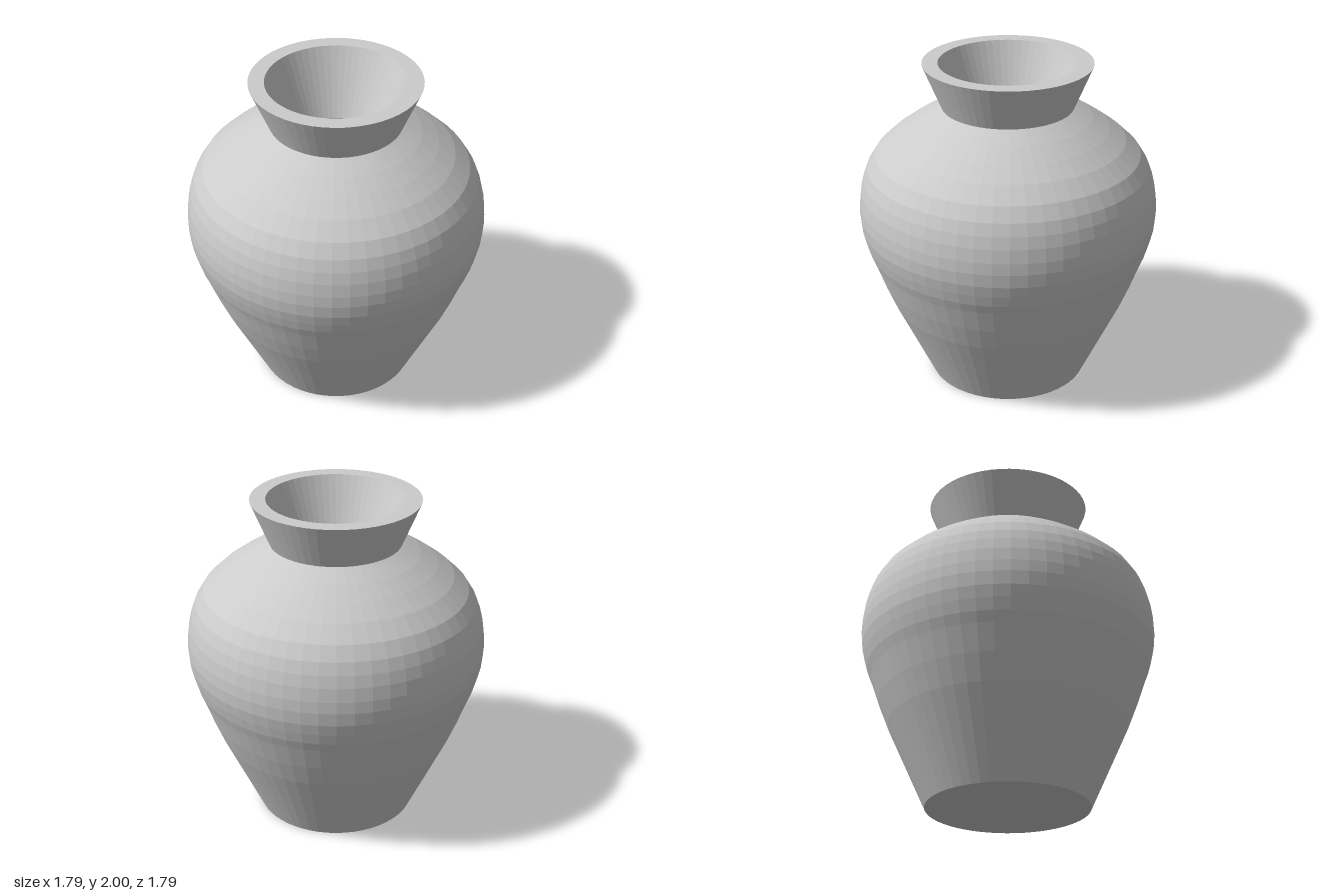
import * as THREE from 'three';

const SEGMENTS = 56;

// Revolves a list of [radius, height] points around the y axis
function turned(name, points, material) {
  const profile = points.map(([r, y]) => new THREE.Vector2(r, y));
  const mesh = new THREE.Mesh(new THREE.LatheGeometry(profile, SEGMENTS), material);
  mesh.name = name;
  return mesh;
}

export function createModel() {
  const group = new THREE.Group();
  group.name = 'vase';
  const clay = new THREE.MeshStandardMaterial({
    color: 0xcccccc, flatShading: true, side: THREE.DoubleSide,
  });

  // Flat base and tapering lower body
  group.add(turned('lowerBody', [
    [0, 0], [0.485, 0], [0.715, 0.5], [0.775, 0.65], [0.828, 0.8],
  ], clay));

  // Rounded belly
  group.add(turned('belly', [
    [0.828, 0.8], [0.852, 0.86], [0.872, 0.93], [0.888, 1.0], [0.895, 1.08],
    [0.893, 1.15], [0.883, 1.23], [0.866, 1.3], [0.84, 1.37], [0.79, 1.45],
  ], clay));

  // Sloping shoulder
  group.add(turned('shoulder', [
    [0.79, 1.45], [0.7, 1.535], [0.6, 1.608], [0.5, 1.673], [0.39, 1.735],
  ], clay));

  // Flared neck with a flat rim and a tapering mouth
  group.add(turned('neck', [
    [0.39, 1.735], [0.5, 2], [0.407, 2], [0.243, 1.6],
  ], clay));

  // Hollow inside
  group.add(turned('cavity', [
    [0.243, 1.6], [0.45, 1.5], [0.66, 1.36], [0.74, 1.2], [0.76, 1.05],
    [0.7, 0.8], [0.58, 0.5], [0.4, 0.12], [0, 0.12],
  ], clay));

  return group;
}
